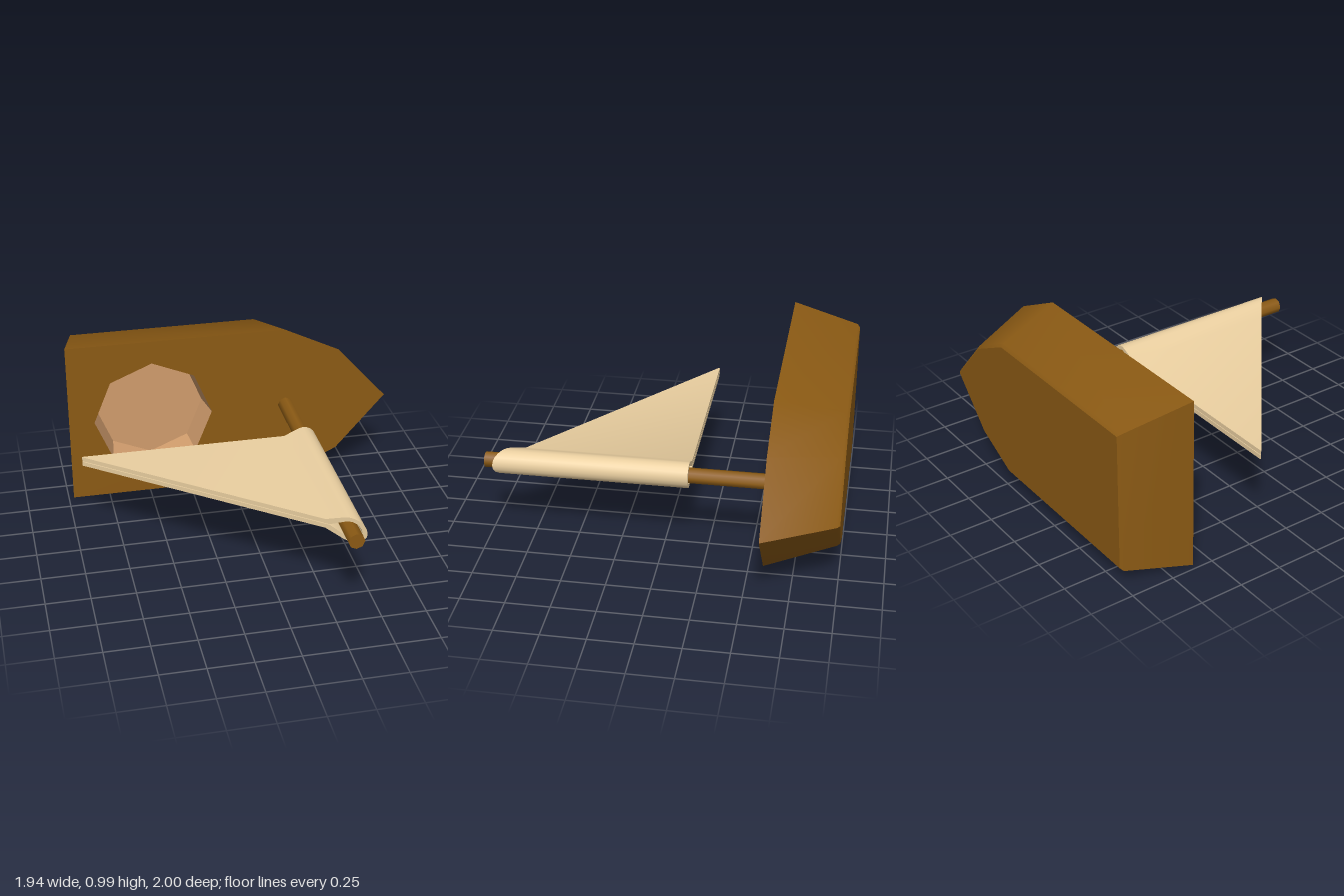
import * as THREE from 'three';
import { toCreasedNormals } from 'three/addons/utils/BufferGeometryUtils.js';

const MID = 0.495; // height of the boat's centre line
const wood = new THREE.MeshStandardMaterial({ color: 0x8b5a14 });
const paleWood = new THREE.MeshStandardMaterial({ color: 0xd09c6c });
const cloth = new THREE.MeshStandardMaterial({ color: 0xeacfa0 });

function add(parent, name, geometry, material) {
  const mesh = new THREE.Mesh(geometry, material);
  mesh.name = name;
  parent.add(mesh);
  return mesh;
}

// Skin through equal-sized rings, closed onto the centre of the last one
function loft(rings, crease) {
  const last = rings[rings.length - 1];
  const centre = last.reduce((c, p) => c.add(p), new THREE.Vector3()).divideScalar(last.length);
  const all = [...rings, last.map(() => centre)];
  const pos = [];
  for (let r = 0; r + 1 < all.length; r++) {
    for (let i = 0; i < last.length; i++) {
      const j = (i + 1) % last.length;
      const [a, b, c, d] = [all[r][i], all[r + 1][i], all[r + 1][j], all[r][j]];
      const tris = r + 2 < all.length ? [a, b, c, a, c, d] : [a, b, d];
      for (const p of tris) pos.push(p.x, p.y, p.z);
    }
  }
  const g = new THREE.BufferGeometry();
  g.setAttribute('position', new THREE.Float32BufferAttribute(pos, 3));
  return toCreasedNormals(g, crease);
}

// Symmetric hull outline from stern corner, shoulder, cheek and bow
function hullRing([stern, shoulder, cheek], bow, z) {
  const half = [stern, shoulder, cheek];
  return [
    ...half.map(([x, h]) => new THREE.Vector3(x, MID - h, z)),
    new THREE.Vector3(bow, MID, z),
    ...half.reverse().map(([x, h]) => new THREE.Vector3(x, MID + h, z)),
  ];
}

// Eight-sided ring for the cockpit, running clockwise so its walls face inward
function cockpitRing(r, z) {
  return Array.from({ length: 8 }, (_, i) => {
    const a = -i * Math.PI / 4;
    return new THREE.Vector3(-0.465 + r * Math.cos(a), MID + r * Math.sin(a), z);
  });
}

function sailGeometry() {
  // One strip of cloth folded round the mast, seen along the mast
  const cx = 0.345;
  const side = (leafY, r, neck, mouth) => {
    const pts = [[-0.945, leafY], [neck, leafY]];
    for (let i = 0; i <= 12; i++) {
      const a = mouth - (mouth * 2 * i) / 12;
      pts.push([cx + r * Math.cos(a), r * Math.sin(a)]);
    }
    pts.push([neck, -leafY], [-0.945, -leafY]);
    return pts.map(([x, y]) => new THREE.Vector2(x, y));
  };
  const outline = [...side(0.027, 0.073, 0.23, 2.0), ...side(0.002, 0.05, 0.25, 2.2).reverse()];
  const g = new THREE.ExtrudeGeometry(new THREE.Shape(outline), { depth: 1, bevelEnabled: false });
  // Slant the front end so that the cloth becomes a triangle
  const p = g.attributes.position;
  for (let i = 0; i < p.count; i++) {
    const length = 0.005 + Math.max(0, p.getX(i) + 0.945) * 0.8;
    p.setZ(i, -0.15 + p.getZ(i) * length);
  }
  return toCreasedNormals(g, 0.7);
}

export function createModel() {
  const boat = new THREE.Group();
  boat.name = 'toySailboat';

  // Tapered hull with a small chamfer round the bottom
  const rings = [
    hullRing([[-0.97, 0.495], [0.34, 0.495], [0.67, 0.335]], 0.97, -0.6),
    hullRing([[-0.9, 0.408], [0.23, 0.408], [0.5, 0.275]], 0.76, -0.985),
    hullRing([[-0.885, 0.393], [0.225, 0.393], [0.49, 0.265]], 0.74, -1),
  ];
  add(boat, 'hull', loft(rings, 0.7), wood);

  // Deck with the cockpit opening
  const rim = cockpitRing(0.355, -0.6);
  const deck = new THREE.Shape(rings[0].map((p) => new THREE.Vector2(p.x, p.y)));
  deck.holes.push(new THREE.Path(rim.map((p) => new THREE.Vector2(p.x, p.y))));
  add(boat, 'deck', new THREE.ShapeGeometry(deck).translate(0, 0, -0.6), wood);
  add(boat, 'cockpit', loft([rim, cockpitRing(0.325, -0.78)], 0.3), paleWood);

  // Mast
  const mast = new THREE.CylinderGeometry(0.045, 0.045, 1.62, 8).rotateX(Math.PI / 2);
  add(boat, 'mast', toCreasedNormals(mast, 0.9), wood).position.set(0.345, MID, 0.19);

  // Folded sail
  add(boat, 'sail', sailGeometry(), cloth).position.y = MID + 0.002;
  return boat;
}
